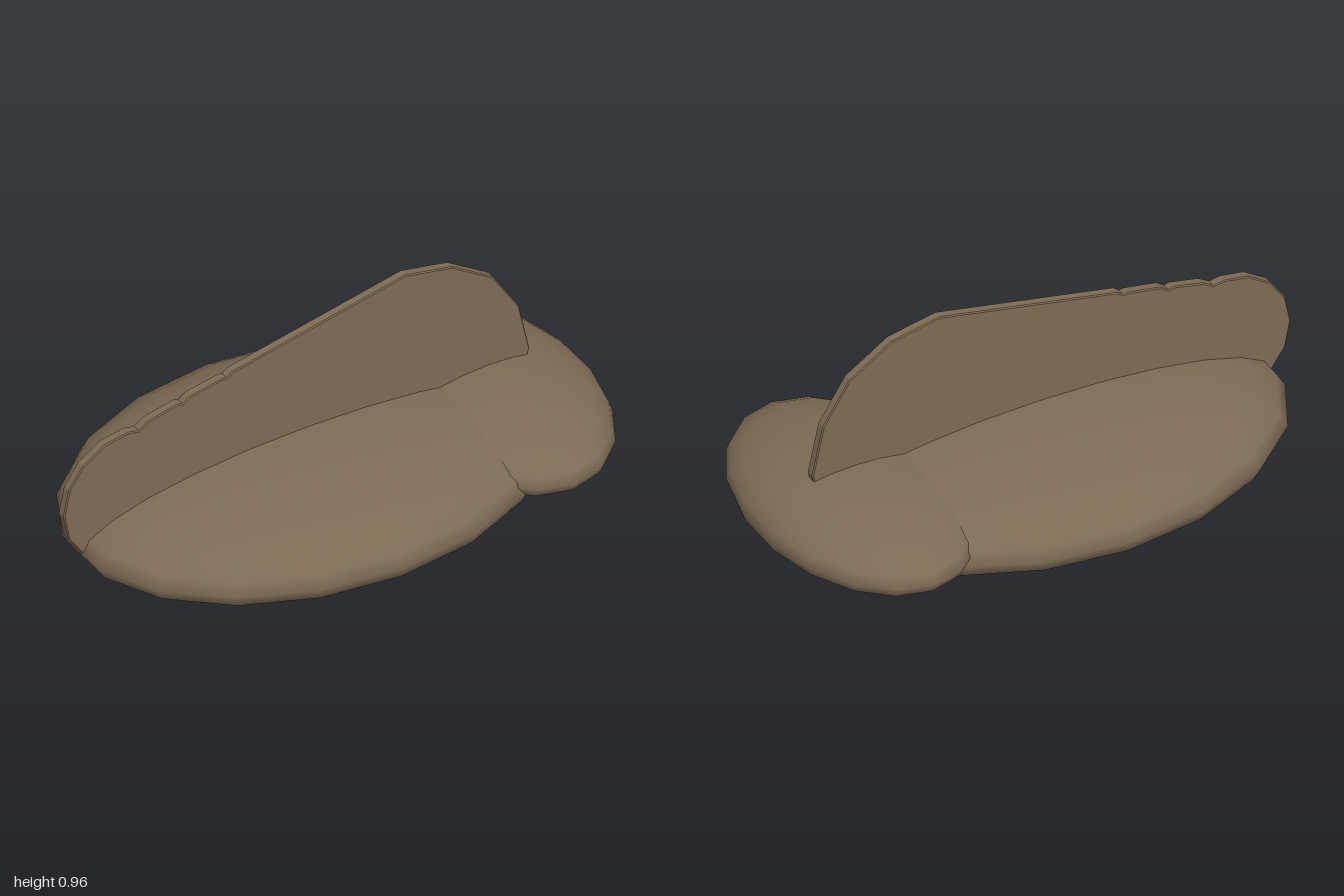
import * as THREE from 'three';

export function createModel() {
  const group = new THREE.Group();
  const brown = new THREE.MeshStandardMaterial({ color: 0x7d6b54 });
  brown.name = 'brown';

  const add = (name, geometry, x, y, z) => {
    const mesh = new THREE.Mesh(geometry, brown);
    mesh.name = name;
    mesh.position.set(x, y, z);
    group.add(mesh);
  };

  // Flattened spheres with a vertex column on the z axis
  const ellipsoid = (rx, ry, rz) =>
    new THREE.SphereGeometry(1, 18, 12).rotateY(Math.PI / 2).scale(rx, ry, rz);

  add('body', ellipsoid(0.883, 0.187, 0.634), -0.06, 0.306, 0);
  add('head', ellipsoid(0.366, 0.14, 0.567), 0.64, 0.335, 0);

  // Upper half of the fin outline, tail to head, relative to its midline
  const outline = [
    [-1, 0], [-0.98, 0.1], [-0.925, 0.18], [-0.84, 0.235], [-0.75, 0.25], [-0.71, 0.243],
    [-0.67, 0.268], [-0.56, 0.292], [-0.54, 0.287], [-0.51, 0.307], [-0.39, 0.329],
    [-0.37, 0.327], [-0.35, 0.343], [0.32, 0.48], [0.5, 0.445], [0.66, 0.342],
    [0.76, 0.185], [0.8, 0],
  ];
  const mirrored = outline.slice(1, -1).reverse().map(([x, y]) => [x, -y]);
  const shape = new THREE.Shape([...outline, ...mirrored].map(([x, y]) => new THREE.Vector2(x, y)));

  // Thin upright fin with softened rims
  const bevel = 0.004;
  const fin = new THREE.ExtrudeGeometry(shape, {
    depth: 0.028, bevelEnabled: true, bevelThickness: bevel, bevelSize: bevel,
    bevelOffset: -bevel, bevelSegments: 1,
  });
  add('fin', fin, 0, 0.485, -0.016);

  return group;
}
